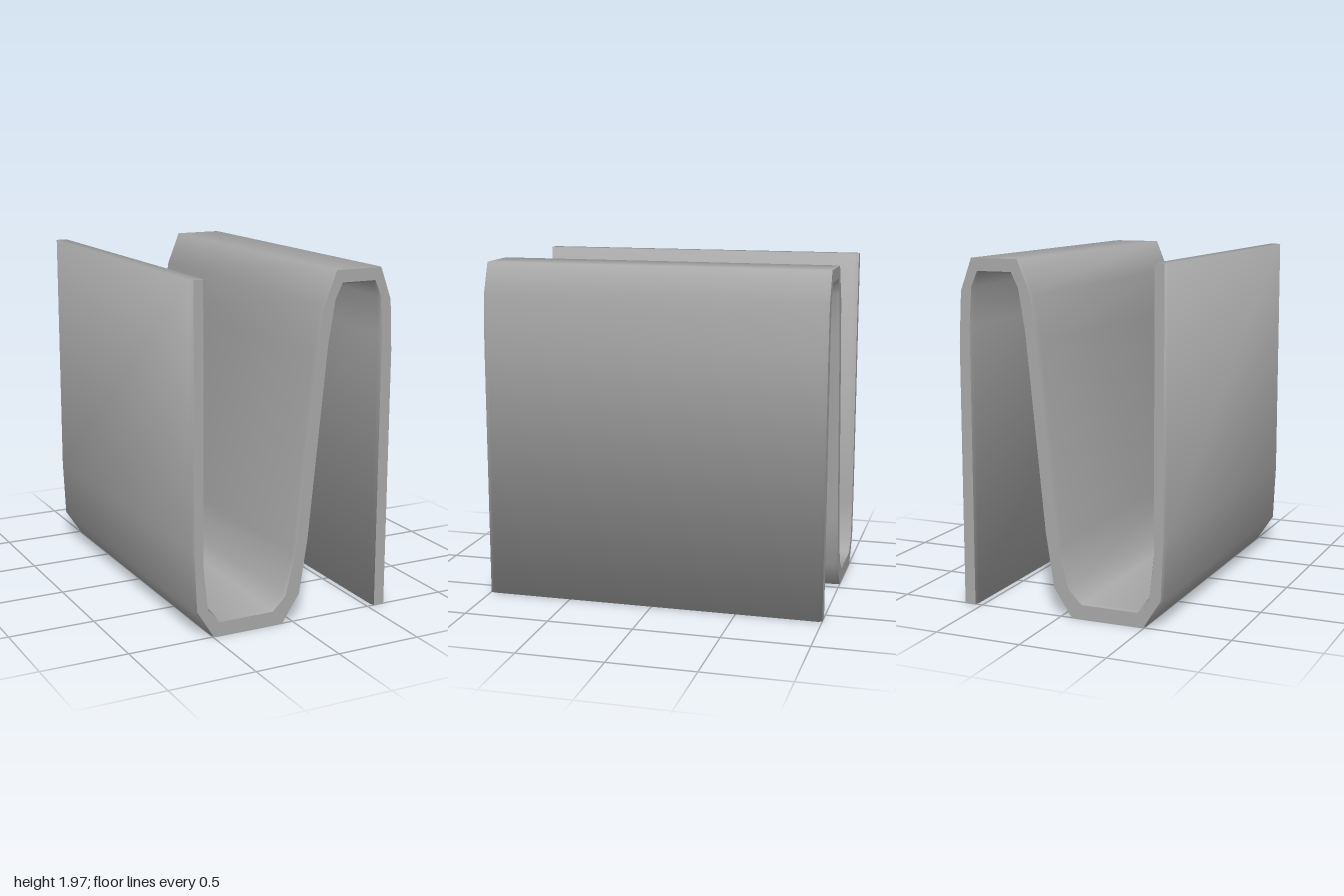
import * as THREE from 'three';
import { toCreasedNormals } from 'three/addons/utils/BufferGeometryUtils.js';

const HEIGHT = 1.97, CHAMFER = 0.025, INSET = 0.01;

// Lower and right-hand face of the folded strip, from the left end to the right end
const under = [
  [-0.62, HEIGHT], [-0.62, 0.5], [-0.605, 0.16], [-0.5, 0], [-0.06, 0],
  [0.05, 0.155], [0.1, 0.47], [0.21, 1.57], [0.25, 1.81], [0.29, 1.89],
  [0.485, 1.89], [0.52, 1.81], [0.535, 1.6], [0.535, 0],
];
// Upper face, back from the right end to the left end
const upper = [
  [0.62, 0], [0.62, 1.5], [0.605, 1.79], [0.535, HEIGHT], [0.24, HEIGHT],
  [0.16, 1.78], [0.12, 1.52], [0.005, 0.4], [-0.055, 0.165], [-0.13, 0.09],
  [-0.455, 0.09], [-0.52, 0.165], [-0.545, 0.4], [-0.545, HEIGHT],
];

export function createModel() {
  const group = new THREE.Group();
  group.name = 'foldedSheet';
  const material = new THREE.MeshStandardMaterial({ color: 0xa8a8a8 });

  // Extrude along z, with a small chamfer around both end faces
  const shape = new THREE.Shape([...under, ...upper].map(([x, y]) => new THREE.Vector2(x, y)));
  const geometry = new THREE.ExtrudeGeometry(shape, {
    depth: 2 - 2 * CHAMFER,
    bevelThickness: CHAMFER,
    bevelSize: INSET,
    bevelOffset: -INSET,
    bevelSegments: 1,
  });
  geometry.translate(0, 0, -1 + CHAMFER);

  // Keep the top and bottom edges straight through the chamfer
  const position = geometry.getAttribute('position');
  for (let i = 0; i < position.count; i++) {
    const y = position.getY(i);
    if (y < 1.5 * INSET) position.setY(i, 0);
    if (y > HEIGHT - 1.5 * INSET) position.setY(i, HEIGHT);
  }

  // Flat end faces, and walls that are smooth all round, free edges included
  ['endFaces', 'sheetWalls'].forEach((name, i) => {
    const { start, count } = geometry.groups[i];
    const part = new THREE.BufferGeometry();
    const corners = position.array.slice(start * 3, (start + count) * 3);
    part.setAttribute('position', new THREE.BufferAttribute(corners, 3));
    const mesh = new THREE.Mesh(toCreasedNormals(part, Math.PI), material);
    mesh.name = name;
    group.add(mesh);
  });
  return group;
}
